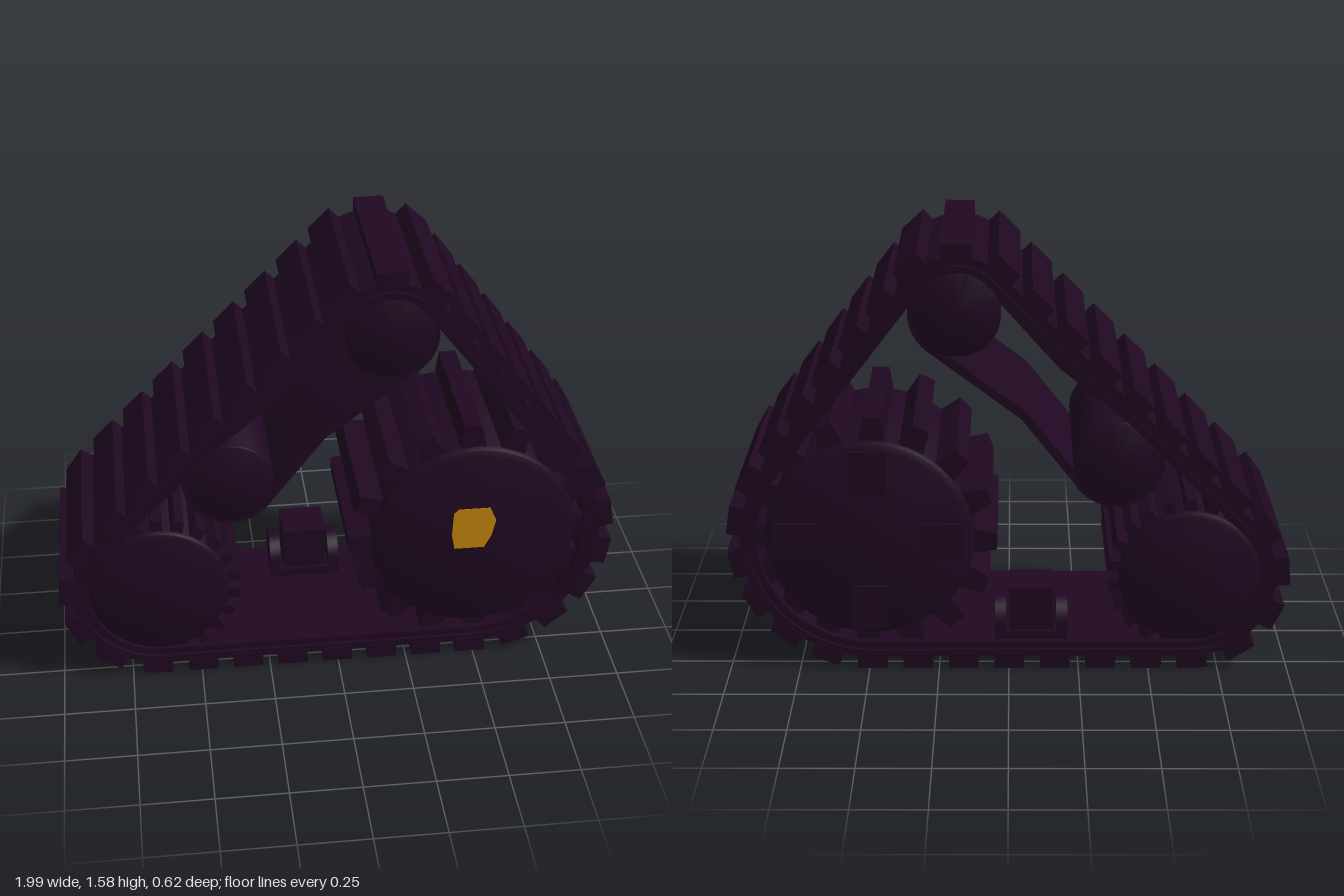
import * as THREE from 'three';
import { toCreasedNormals } from 'three/addons/utils/BufferGeometryUtils.js';

const DEG = Math.PI / 180;
const dark = new THREE.MeshStandardMaterial({ color: 0x1f0821 });
dark.name = 'darkPlum';
const amber = new THREE.MeshStandardMaterial({ color: 0xc8860c });
amber.name = 'amber';

// Wheels and rollers; track is the radius at which the belt wraps around them
const idler = { x: -0.64, y: 0.36, r: 0.25, track: 0.248 };
const sprocket = { x: 0.49, y: 0.505, r: 0.37, track: 0.395 };
const topRoller = { x: 0.176, y: 1.33, r: 0.15, track: 0.145 };
const armRoller = { x: -0.375, y: 0.795, r: 0.15 };

function add(parent, name, geometry, material = dark) {
  const mesh = new THREE.Mesh(geometry, material);
  mesh.name = name;
  parent.add(mesh);
  return mesh;
}

const toPoints = (pairs) => pairs.map(([x, y]) => new THREE.Vector2(x, y));

// Extrude a counter-clockwise outline (with optional hole) between two z values
function slab(outer, inner, z0, z1) {
  const shape = new THREE.Shape(outer);
  if (inner) shape.holes.push(new THREE.Path(inner));
  const g = new THREE.ExtrudeGeometry(shape, { depth: z1 - z0, bevelEnabled: false });
  g.translate(0, 0, z0);
  return toCreasedNormals(g, 0.5);
}

// Taut counter-clockwise loop around the three track wheels, starting at the top
function trackLoop(offset) {
  const points = [];
  for (let i = 0; i < 180; i++) {
    const a = (90 + i * 2) * DEG;
    const nx = Math.cos(a), ny = Math.sin(a);
    let best = null, reach = -Infinity;
    for (const c of [idler, sprocket, topRoller]) {
      const d = c.x * nx + c.y * ny + c.track;
      if (d > reach) { reach = d; best = c; }
    }
    const r = best.track + offset;
    points.push(new THREE.Vector2(best.x + r * nx, best.y + r * ny));
  }
  return points;
}

// Drum along z with bevelled rims
function drum(name, wheel, half, bevel) {
  const group = new THREE.Group();
  group.name = name;
  group.position.set(wheel.x, wheel.y, 0);
  const r = wheel.r;
  const profile = toPoints([
    [0, -half], [r - bevel, -half], [r - bevel * 0.3, -half + bevel * 0.3], [r, -half + bevel],
    [r, half - bevel], [r - bevel * 0.3, half - bevel * 0.3], [r - bevel, half], [0, half],
  ]);
  const g = new THREE.LatheGeometry(profile, 48);
  g.rotateX(Math.PI / 2);
  add(group, name + 'Drum', toCreasedNormals(g, 0.6));
  return group;
}

// Tapered teeth running across the drum
function addTeeth(group, count, r, tip, baseWidth, tipWidth, half, phase) {
  const b = baseWidth / 2, t = tipWidth / 2;
  const g = slab(toPoints([[r - 0.03, -b], [tip, -t], [tip, t], [r - 0.03, b]]), null, -half, half);
  for (let i = 0; i < count; i++) {
    add(group, 'tooth', g).rotation.z = phase + (i / count) * Math.PI * 2;
  }
}

// Slack loop around the two upper rollers
function armLoop(offset) {
  const points = [];
  const arc = (c, from, to) => {
    for (let i = 0; i <= 20; i++) {
      const a = (from + (to - from) * i / 20) * DEG;
      points.push(new THREE.Vector2(c.x + (c.r + offset) * Math.cos(a), c.y + (c.r + offset) * Math.sin(a)));
    }
  };
  arc(armRoller, 134, 332);
  points.push(new THREE.Vector2(-0.055 + offset * 0.7, 0.965 - offset * 0.7));
  arc(topRoller, -52, 134);
  points.push(new THREE.Vector2(-0.18 - offset * 0.7, 1.15 + offset * 0.7));
  return points;
}

// Tread blocks spaced along the belt: 20 from the top round to under the sprocket, 13 back up
function addTreads(belt) {
  const path = trackLoop(0.06);
  path.push(path[0].clone());
  const lengths = [0];
  for (let i = 1; i < path.length; i++) lengths.push(lengths[i - 1] + path[i].distanceTo(path[i - 1]));
  const total = lengths[lengths.length - 1], split = lengths[90];
  const block = new THREE.BoxGeometry(0.106, 0.056, 0.61);
  for (let k = 0, i = 1; k < 33; k++) {
    const s = k < 20 ? split * k / 20 : split + (total - split) * (k - 20) / 13;
    while (lengths[i] <= s) i++;
    const a = path[i - 1], b = path[i];
    const p = a.clone().lerp(b, (s - lengths[i - 1]) / (lengths[i] - lengths[i - 1]));
    const angle = Math.atan2(b.y - a.y, b.x - a.x);
    const tread = add(belt, 'tread', block);
    tread.position.set(p.x + Math.sin(angle) * 0.017, p.y - Math.cos(angle) * 0.017, 0);
    tread.rotation.z = angle;
  }
}

export function createModel() {
  const model = new THREE.Group();
  model.name = 'trackUnit';

  // Track belt: two layers with a narrow groove between them
  const belt = new THREE.Group();
  belt.name = 'trackBelt';
  model.add(belt);
  add(belt, 'innerBelt', slab(trackLoop(0.026), trackLoop(0.002), -0.3, 0.3));
  add(belt, 'beltCore', slab(trackLoop(0.038), trackLoop(0.024), -0.285, 0.285));
  add(belt, 'outerBelt', slab(trackLoop(0.06), trackLoop(0.036), -0.3, 0.3));
  addTreads(belt);

  // Drive sprocket with amber hub plate and four rear plates
  const drive = drum('driveSprocket', sprocket, 0.3, 0.03);
  addTeeth(drive, 16, sprocket.r, 0.45, 0.1, 0.062, 0.275, 92 * DEG);
  const hub = toPoints([[-0.072, -0.04], [0.035, -0.04], [0.061, 0.01], [0.075, 0.073], [0.052, 0.126],
    [-0.06, 0.126], [-0.078, 0.11], [-0.083, 0.02]]);
  add(drive, 'hubPlate', slab(hub, null, 0.297, 0.302), amber);
  for (let i = 0; i < 4; i++) {
    const a = i * Math.PI / 2;
    const plate = add(drive, 'rearPlate', new THREE.BoxGeometry(0.16, 0.13, 0.02));
    plate.position.set(Math.cos(a) * 0.255, Math.sin(a) * 0.255, -0.302);
    plate.rotation.z = a;
  }
  model.add(drive);

  // Idler wheel
  const idlerWheel = drum('idlerWheel', idler, 0.3, 0.02);
  addTeeth(idlerWheel, 22, idler.r, 0.29, 0.05, 0.034, 0.28, 90 * DEG);
  model.add(idlerWheel);

  // Upper rollers and the slack belt joining them
  model.add(drum('topRoller', topRoller, 0.295, 0.008));
  model.add(drum('armRoller', armRoller, 0.295, 0.008));
  add(model, 'slackBelt', slab(armLoop(0.017), armLoop(-0.014), -0.285, 0.285));

  // Guide block held between two rounded ears
  const guide = new THREE.Group();
  guide.name = 'guideBlock';
  guide.position.set(-0.08, 0, -0.19);
  model.add(guide);
  add(guide, 'block', new THREE.BoxGeometry(0.16, 0.16, 0.16)).position.y = 0.225;
  add(guide, 'blockBase', new THREE.BoxGeometry(0.2, 0.05, 0.18)).position.y = 0.115;
  const ear = new THREE.Shape();
  ear.moveTo(-0.09, 0.09);
  ear.lineTo(0.09, 0.09);
  ear.absarc(0, 0.16, 0.09, 0, Math.PI, false);
  const earGeometry = slab(ear.getPoints(12), null, -0.02, 0.02);
  earGeometry.rotateY(Math.PI / 2);
  for (const side of [-1, 1]) {
    add(guide, 'ear', earGeometry).position.x = side * 0.11;
  }
  return model;
}
